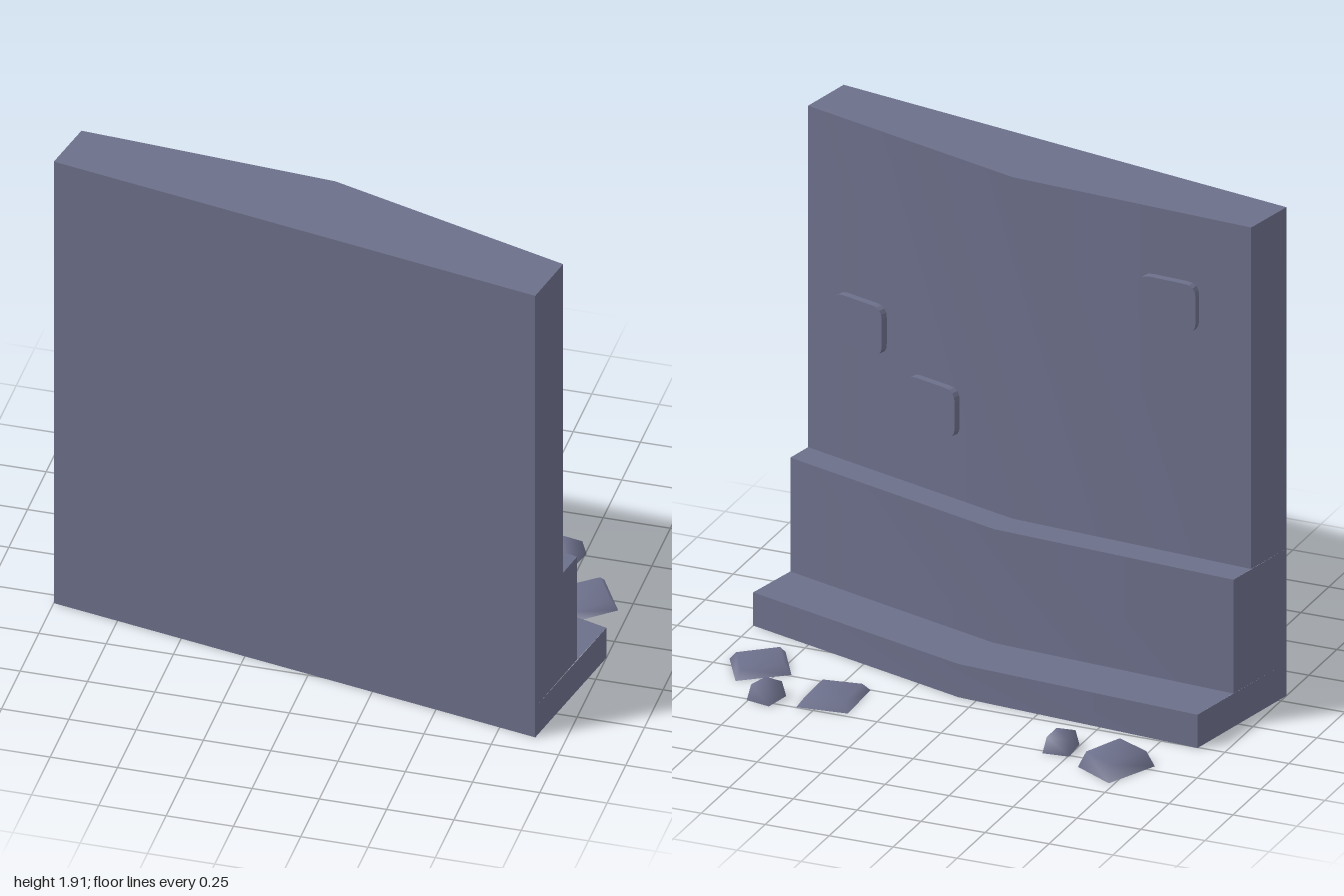
import * as THREE from 'three';
import { toCreasedNormals } from 'three/addons/utils/BufferGeometryUtils.js';

const stone = new THREE.MeshStandardMaterial({ color: 0x6c6f8a });
stone.name = 'stone';

function mesh(geometry, name) {
  const m = new THREE.Mesh(geometry, stone);
  m.name = name;
  return m;
}

// Heights of the base ledge, the middle ledge and the wall top
const LEVELS = [0, 0.13, 0.575, 1.91];

// Plan [x, z] of each cross-section: front, wall back, middle ledge, base ledge
const SECTIONS = [
  [[-1, 0.3], [-0.957, 0.083], [-0.937, -0.03], [-0.895, -0.255]],
  [[-0.055, 0.482], [0.005, 0.152], [0.03, 0.04], [0.07, -0.183]],
  [[0.89, 0.665], [0.932, 0.443], [0.953, 0.332], [1, 0.108]],
];

// Stepped profile swept through the three sections, with a soft bend behind
function wallGeometry() {
  const pos = [];
  const quad = (a, b, c, d) => pos.push(...a, ...b, ...c, ...a, ...c, ...d);
  const at = (s, i, level) => [s[i][0], LEVELS[level], s[i][1]];
  const loop = (s) => [
    at(s, 0, 0), at(s, 3, 0), at(s, 3, 1), at(s, 2, 1),
    at(s, 2, 2), at(s, 1, 2), at(s, 1, 3), at(s, 0, 3),
  ];
  const loops = SECTIONS.map(loop);
  for (let i = 0; i < 2; i++) {
    const A = loops[i], B = loops[i + 1];
    for (let k = 0; k < 8; k++) {
      const n = (k + 1) % 8;
      quad(A[k], A[n], B[n], B[k]);
    }
  }
  // End caps, one rectangle for each step
  for (let k = 0; k < 3; k++) {
    const cap = (s) => [at(s, 0, k), at(s, 3 - k, k), at(s, 3 - k, k + 1), at(s, 0, k + 1)];
    quad(...cap(SECTIONS[2]));
    quad(...cap(SECTIONS[0]).reverse());
  }
  const g = new THREE.BufferGeometry();
  g.setAttribute('position', new THREE.Float32BufferAttribute(pos, 3));
  return toCreasedNormals(g, 0.5);
}

// Rounded slab that stands out from the back of the wall
function slabGeometry(w, h, r, depth) {
  const s = new THREE.Shape();
  const x = w / 2, y = h / 2;
  s.moveTo(-x + r, -y);
  s.lineTo(x - r, -y);
  s.quadraticCurveTo(x, -y, x, -y + r);
  s.lineTo(x, y - r);
  s.quadraticCurveTo(x, y, x - r, y);
  s.lineTo(-x + r, y);
  s.quadraticCurveTo(-x, y, -x, y - r);
  s.lineTo(-x, -y + r);
  s.quadraticCurveTo(-x, -y, -x + r, -y);
  const g = new THREE.ExtrudeGeometry(s, { depth, bevelEnabled: false, curveSegments: 4 });
  return g.translate(0, 0, -depth);
}

// Low four-sided stone: ground outline, smaller raised top, flat underside
function rubbleGeometry(corners, height) {
  const cx = corners.reduce((t, c) => t + c[0], 0) / 4;
  const cz = corners.reduce((t, c) => t + c[1], 0) / 4;
  const ring = (k, y) => corners.flatMap(([x, z]) => [cx + (x - cx) * k, y, cz + (z - cz) * k]);
  const pos = [...ring(1, 0), ...ring(0.78, height), ...ring(1, 0)];
  const idx = [4, 6, 5, 4, 7, 6, 8, 9, 10, 8, 10, 11];
  for (let i = 0; i < 4; i++) {
    const n = (i + 1) % 4;
    idx.push(i, 4 + i, 4 + n, i, 4 + n, n);
  }
  const g = new THREE.BufferGeometry();
  g.setAttribute('position', new THREE.Float32BufferAttribute(pos, 3));
  g.setIndex(idx);
  g.computeVertexNormals();
  return g;
}

export function createModel() {
  const model = new THREE.Group();
  model.name = 'steppedWall';
  model.add(mesh(wallGeometry(), 'wall'));

  // Raised slabs: x, height and which half of the bent wall they sit on
  const slab = slabGeometry(0.23, 0.19, 0.045, 0.028);
  for (const [x, y, half] of [[-0.632, 1.553, 0], [0.355, 0.915, 1], [0.685, 1.138, 1]]) {
    const [ax, az] = SECTIONS[half][1], [bx, bz] = SECTIONS[half + 1][1];
    const m = mesh(slab, 'raisedSlab');
    m.position.set(x, y, az + ((x - ax) / (bx - ax)) * (bz - az));
    m.rotation.y = -Math.atan2(bz - az, bx - ax);
    model.add(m);
  }

  // Loose stones on the ground behind: height, then corners seen from above
  const rubble = [
    [0.06, [[-0.73, -0.67], [-0.57, -0.58], [-0.65, -0.38], [-0.82, -0.465]]],
    [0.06, [[-0.505, -0.51], [-0.405, -0.52], [-0.405, -0.405], [-0.495, -0.395]]],
    [0.032, [[0.375, -0.475], [0.567, -0.497], [0.572, -0.278], [0.385, -0.25]]],
    [0.032, [[0.86, -0.37], [0.96, -0.195], [0.8, -0.06], [0.698, -0.24]]],
    [0.06, [[0.66, -0.53], [0.755, -0.51], [0.73, -0.405], [0.64, -0.42]]],
  ];
  for (const [height, corners] of rubble) model.add(mesh(rubbleGeometry(corners, height), 'rubble'));
  return model;
}
